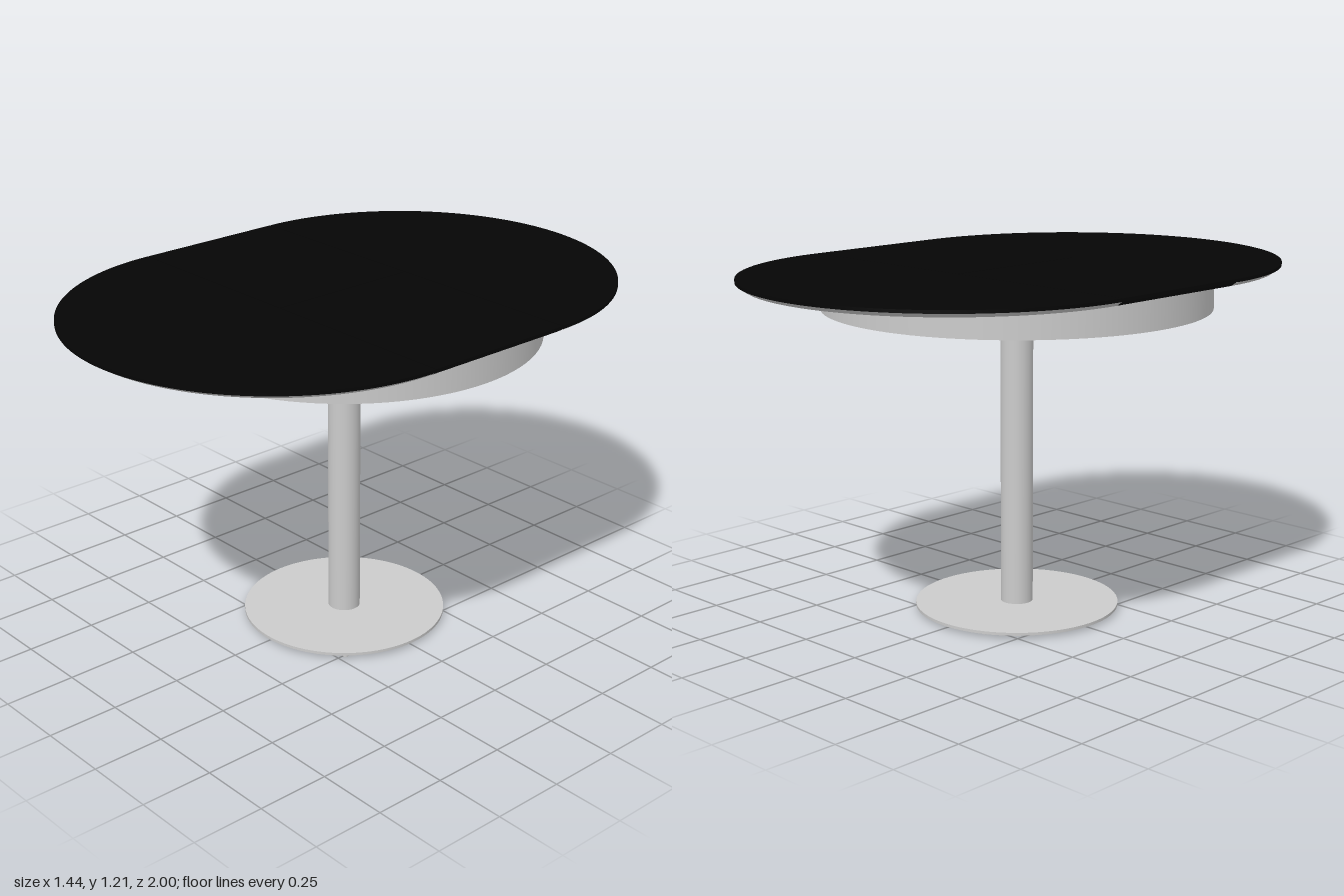
import * as THREE from 'three';
import { toCreasedNormals } from 'three/addons/utils/BufferGeometryUtils.js';

const R = 0.72;        // tabletop end radius
const SPLIT = 0.28;    // z of the seams between ends and leaves
const GAP = 0.002;     // half width of each seam
const BOTTOM = 1.18, MID = 1.194, TOP = 1.205, BEVEL = 0.022;

const grey = new THREE.MeshStandardMaterial({ color: 0xcccccc });
const black = new THREE.MeshStandardMaterial({ color: 0x050505 });

function add(parent, name, geometry, material, x = 0, y = 0, z = 0) {
  const mesh = new THREE.Mesh(geometry, material);
  mesh.name = name;
  mesh.position.set(x, y, z);
  parent.add(mesh);
  return mesh;
}

function disc(parent, name, radius, y0, y1, segments, x = 0, z = 0) {
  const geometry = new THREE.CylinderGeometry(radius, radius, y1 - y0, segments);
  return add(parent, name, geometry, grey, x, (y0 + y1) / 2, z);
}

// Half-round layer: half a lathe plus the flat face along its straight edge
function halfRound(parent, name, profile, material) {
  const points = profile.map(([x, y]) => new THREE.Vector2(x, y));
  const lathe = new THREE.LatheGeometry(points, 64, -Math.PI / 2, Math.PI);
  add(parent, name, toCreasedNormals(lathe, 0.4), material);
  const rim = points.filter((p) => p.x > 0);
  const mirrored = rim.map((p) => new THREE.Vector2(-p.x, p.y)).reverse();
  const face = new THREE.ShapeGeometry(new THREE.Shape([...rim, ...mirrored]));
  add(parent, name + 'SeamFace', face.rotateY(Math.PI), material);
}

function createEnd(name) {
  const end = new THREE.Group();
  end.name = name;
  halfRound(end, 'endSurface', [[0, MID], [R, MID], [R, TOP], [0, TOP]], black);
  halfRound(end, 'endUnderside', [[0, BOTTOM], [R - BEVEL, BOTTOM], [R, MID]], grey);
  return end;
}

export function createModel() {
  const table = new THREE.Group();
  table.name = 'extendingTable';

  // Rounded tabletop ends
  const front = createEnd('frontEnd');
  front.position.z = SPLIT;
  const back = createEnd('backEnd');
  back.position.z = -SPLIT;
  back.rotation.y = Math.PI;
  table.add(front, back);

  // Two leaves filling the middle, bevelled on their outer edges
  const depth = 2 * (SPLIT - 2 * GAP);
  const section = [[GAP, BOTTOM], [R - BEVEL, BOTTOM], [R, MID], [R, TOP], [GAP, TOP]];
  const leafShape = new THREE.Shape(section.map(([x, y]) => new THREE.Vector2(x, y)));
  const leaf = new THREE.ExtrudeGeometry(leafShape, { depth, bevelEnabled: false });
  leaf.translate(0, 0, -depth / 2);
  add(table, 'leftLeaf', leaf, black);
  add(table, 'rightLeaf', leaf, black).rotation.y = Math.PI;

  // Round apron, column and base plate
  disc(table, 'apron', 0.665, 1.07, BOTTOM - 0.001, 96);
  disc(table, 'column', 0.056, 0.02, 1.07, 48);
  disc(table, 'basePlate', 0.355, 0.011, 0.021, 96);

  // Five small feet in a ring
  const feet = [[-0.307, 0], [-0.133, 0.295], [-0.133, -0.29], [0.254, 0.22], [0.254, -0.203]];
  feet.forEach(([x, z], i) => disc(table, 'foot' + (i + 1), 0.01, 0, 0.011, 16, x, z));

  return table;
}
